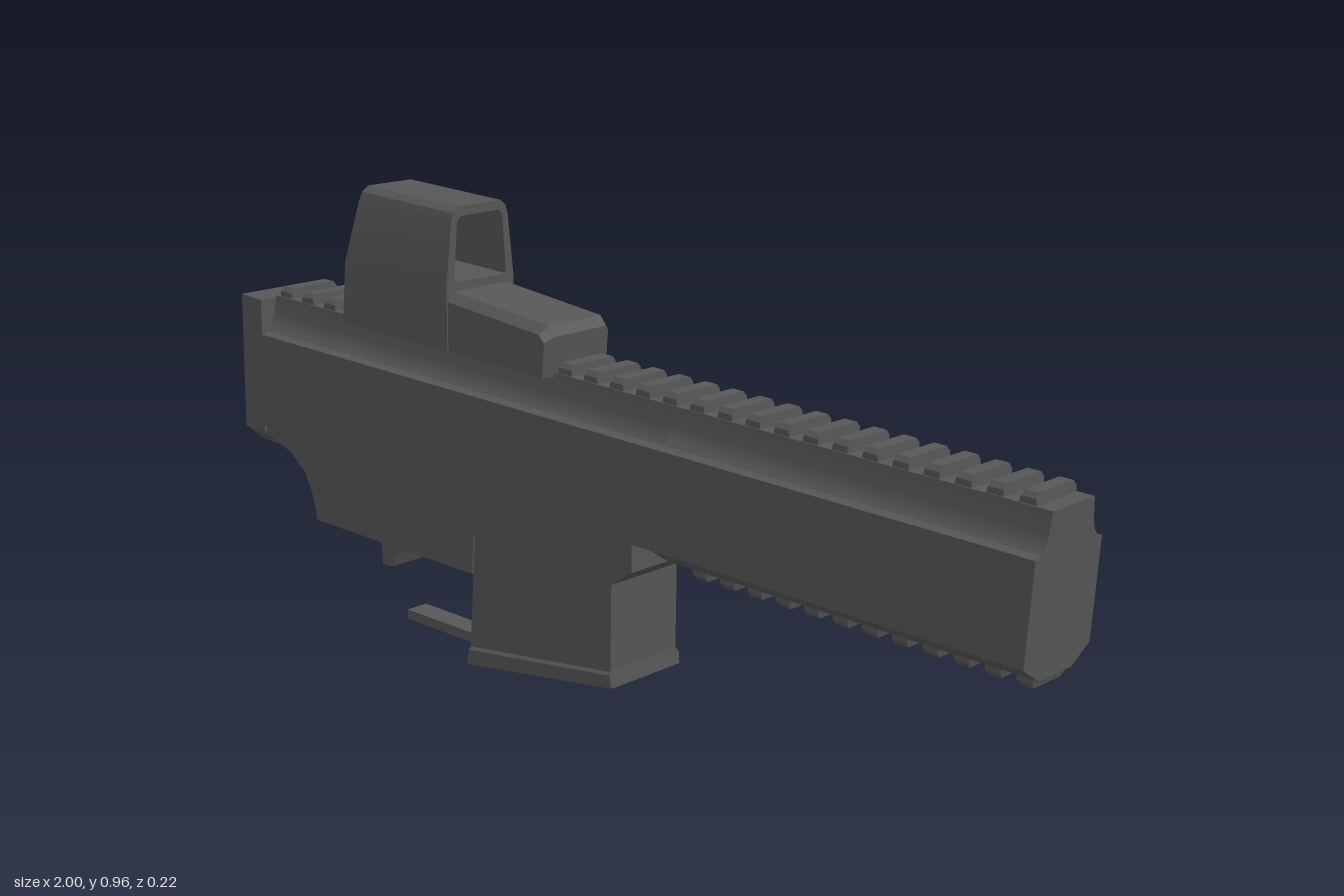
import * as THREE from 'three';
import { toCreasedNormals } from 'three/addons/utils/BufferGeometryUtils.js';

const TILT = 0.08; // the whole body leans nose-down

// Joins equal-length counter-clockwise outlines stacked along z: [[z, points], ...]
function loft(layers) {
  const n = layers[0][1].length;
  const pos = [], idx = [];
  for (const [z, pts] of layers) for (const [x, y] of pts) pos.push(x, y, z);
  for (let k = 0; k < layers.length - 1; k++) {
    for (let i = 0; i < n; i++) {
      const j = (i + 1) % n;
      const a = k * n + i, b = k * n + j, c = b + n, d = a + n;
      idx.push(a, b, c, a, c, d);
    }
  }
  const cap = (pts, base, flip) => {
    const contour = pts.map(([x, y]) => new THREE.Vector2(x, y));
    for (const [a, b, c] of THREE.ShapeUtils.triangulateShape(contour, [])) {
      if (flip) idx.push(base + a, base + c, base + b);
      else idx.push(base + a, base + b, base + c);
    }
  };
  cap(layers[0][1], 0, true);
  cap(layers[layers.length - 1][1], (layers.length - 1) * n, false);
  const g = new THREE.BufferGeometry();
  g.setAttribute('position', new THREE.Float32BufferAttribute(pos, 3));
  g.setIndex(idx);
  return g;
}

const slab = (pts, h) => loft([[-h, pts], [h, pts]]);
const bevelled = (outer, h, inner, hi) => loft([[-h, outer], [-hi, inner], [hi, inner], [h, outer]]);
// Right half of an outline, bottom to top, completed by its mirror image
const mirrored = (half) => [...half, ...half.map(([x, y]) => [-x, y]).reverse()];
// Cross-section (z, y) swept along x
const bar = (half, x0, x1) => {
  const pts = mirrored(half);
  return loft([[x0, pts], [x1, pts]]).rotateY(Math.PI / 2);
};

export function createModel() {
  const metal = new THREE.MeshStandardMaterial({ color: 0x555555 });
  metal.name = 'dark grey';
  const model = new THREE.Group();
  const tilted = new THREE.Group();
  tilted.name = 'tiltedBody';
  tilted.rotation.z = -TILT;
  model.add(tilted);

  const add = (parent, name, geo) => {
    const mesh = new THREE.Mesh(toCreasedNormals(geo, 0.5), metal);
    mesh.name = name;
    parent.add(mesh);
    return mesh;
  };

  // Long housing: flat sides with a hollow curve up to the top rail
  const upperHalf = [[0.112, 0.5475], [0.094, 0.553], [0.082, 0.566], [0.075, 0.588], [0.07, 0.628]];
  add(tilted, 'upperHousing', bar([[0.112, 0.346], ...upperHalf], -0.99, 0.115));
  add(tilted, 'frontHousing', bar([[0.055, 0.312], [0.112, 0.346], ...upperHalf], 0.115, 0.953));

  // Rail teeth
  const teeth = (name, count, last, v0, v1, wide, narrow) => {
    const group = new THREE.Group();
    group.name = name;
    const s = Math.sign(v1 - v0);
    const outline = (v, w) => {
      const pts = [[-0.019, v0], [0.019, v0], [w, v], [-w, v]];
      return s > 0 ? pts : pts.reverse();
    };
    const geo = bevelled(outline(v1 - s * 0.01, 0.016), wide, outline(v1, 0.014), narrow);
    for (let i = 0; i < count; i++) {
      add(group, 'railTooth', geo).position.x = last - i * 0.0665;
    }
    tilted.add(group);
  };
  teeth('topRail', 29, 0.9, 0.62, 0.65, 0.067, 0.059);
  teeth('bottomRail', 12, 0.925, 0.318, 0.292, 0.054, 0.045);

  // Sight hood: tapered window frame with a raked back
  const toPath = (pts) => pts.map(([x, y]) => new THREE.Vector2(x, y));
  const frame = new THREE.Shape(toPath(mirrored(
    [[0.1, 0.62], [0.1, 0.752], [0.084, 0.88], [0.078, 0.899], [0.062, 0.911]])));
  frame.holes.push(new THREE.Path(toPath(mirrored(
    [[0.077, 0.758], [0.068, 0.872], [0.064, 0.885], [0.055, 0.891]]))));
  const hood = new THREE.ExtrudeGeometry(frame, { depth: 1, bevelEnabled: false }).rotateY(Math.PI / 2);
  const p = hood.attributes.position;
  for (let i = 0; i < p.count; i++) {
    const v = p.getY(i);
    const back = -0.753 + Math.max(0, v - 0.752) * 0.144;
    const front = -0.461 - (v - 0.741) * 0.077;
    p.setX(i, THREE.MathUtils.lerp(back, front, p.getX(i)));
  }
  hood.computeVertexNormals();
  add(tilted, 'sightHood', hood);

  // Sight base in front of the hood, with softened edges
  add(tilted, 'sightBase', loft([
    [-0.097, [[-0.47, 0.62], [-0.197, 0.62], [-0.197, 0.69], [-0.212, 0.704], [-0.47, 0.722]]],
    [-0.078, [[-0.47, 0.62], [-0.187, 0.62], [-0.187, 0.702], [-0.203, 0.721], [-0.47, 0.741]]],
    [0.078, [[-0.47, 0.62], [-0.187, 0.62], [-0.187, 0.702], [-0.203, 0.721], [-0.47, 0.741]]],
    [0.097, [[-0.47, 0.62], [-0.197, 0.62], [-0.197, 0.69], [-0.212, 0.704], [-0.47, 0.722]]],
  ]));

  // Upright block closing the rear end
  add(model, 'rearBlock', slab([[-1, 0.415], [-0.94, 0.412], [-0.94, 0.7], [-1, 0.707]], 0.112));

  // Lower housing with a chamfered rear arch
  const lower = (arch) => [
    ...arch, [-0.335, 0.2], [-0.33, 0.28], [0.09, 0.28], [0.09, 0.36], [-0.94, 0.44], [-1, 0.44],
  ];
  const sideArch = [[-1, 0.412], [-0.93, 0.402], [-0.87, 0.378], [-0.823, 0.335], [-0.8, 0.285], [-0.79, 0.237]];
  const coreArch = [[-1, 0.38], [-0.94, 0.372], [-0.89, 0.352], [-0.85, 0.318], [-0.832, 0.28], [-0.825, 0.24]];
  add(model, 'lowerHousing', bevelled(lower(sideArch), 0.106, lower(coreArch), 0.065));

  // Front well and its flared foot
  add(model, 'frontWell', slab([
    [-0.347, 0.03], [0.032, 0.055], [0.035, 0.245], [0.085, 0.28], [0.09, 0.35], [-0.33, 0.35], [-0.335, 0.2],
  ], 0.102));
  add(model, 'wellFoot', bevelled(
    [[-0.352, 0.004], [0.038, 0.034], [0.036, 0.06], [-0.346, 0.036]], 0.108,
    [[-0.352, 0.002], [0.038, 0.033], [0.034, 0.068], [-0.344, 0.044]], 0.1));

  // Lower guard: rear tab, curved front web and open bar
  add(model, 'guardTab', slab([
    [-0.66, 0.24], [-0.655, 0.15], [-0.626, 0.15], [-0.612, 0.18], [-0.57, 0.203], [-0.57, 0.24],
  ], 0.045));
  add(model, 'guardWeb', slab([
    [-0.335, 0.23], [-0.45, 0.23], [-0.44, 0.2], [-0.385, 0.178], [-0.36, 0.145], [-0.356, 0.105],
    [-0.375, 0.068], [-0.395, 0.045], [-0.39, 0.02], [-0.34, 0.02],
  ], 0.04));
  add(model, 'guardBar', slab([[-0.6, 0.035], [-0.34, 0.012], [-0.34, 0.034], [-0.6, 0.055]], 0.028));

  return model;
}
